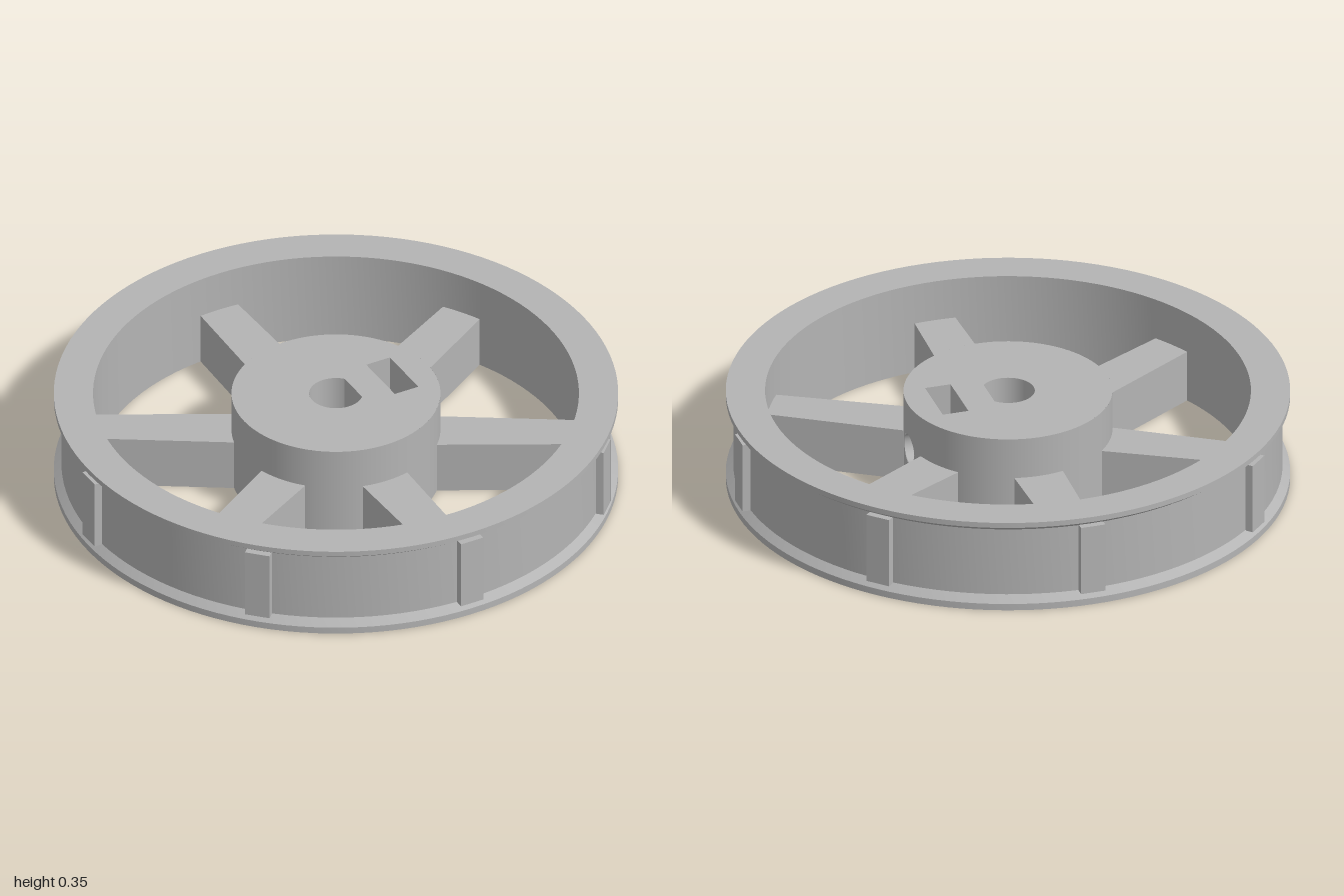
import * as THREE from 'three';
import { toCreasedNormals } from 'three/addons/utils/BufferGeometryUtils.js';

const H = 0.35;                       // overall height
const HUB_R = 0.37, BORE_R = 0.095, FLAT_X = 0.07;
const SLOT = { x0: 0.18, x1: 0.275, z: 0.105, floor: 0.07 };
const HOLE_R = 0.056, HOLE_Y = 0.175; // radial screw hole along +x

export function createModel() {
  const grey = new THREE.MeshStandardMaterial({ color: 0xb4b4b4, side: THREE.DoubleSide });
  grey.name = 'grey plastic';
  const wheel = new THREE.Group();
  wheel.name = 'wheel';
  const add = (parent, name, geometry) => {
    const mesh = new THREE.Mesh(geometry, grey);
    mesh.name = name;
    parent.add(mesh);
    return mesh;
  };

  // Rim with a shallow groove between two bevelled flanges
  const profile = [
    [0.86, 0], [0.999, 0], [0.999, 0.025], [0.972, 0.05], [0.972, 0.31],
    [0.999, 0.33], [0.999, H], [0.86, H], [0.86, 0],
  ].map(([r, y]) => new THREE.Vector2(r, y));
  add(wheel, 'rim', toCreasedNormals(new THREE.LatheGeometry(profile, 120), 0.4));

  // Eight ribs across the groove
  for (let i = 0; i < 8; i++) {
    const rib = new THREE.BoxGeometry(0.09, 0.265, 0.06);
    rib.translate(0, 0.18, 0.9695).rotateY(i * Math.PI / 4);
    add(wheel, 'grooveRib', rib);
  }

  // Six tapered spokes, flush with the bottom
  const spokeShape = new THREE.Shape([
    [-0.09, 0.36], [0.09, 0.36], [0.075, 0.875], [-0.075, 0.875],
  ].map(([x, y]) => new THREE.Vector2(x, y)));
  for (let i = 0; i < 6; i++) {
    const spoke = new THREE.ExtrudeGeometry(spokeShape, { depth: 0.195, bevelEnabled: false });
    spoke.rotateX(-Math.PI / 2).rotateY(i * Math.PI / 3);
    add(wheel, 'spoke', spoke);
  }

  const hub = new THREE.Group();
  hub.name = 'hub';
  wheel.add(hub);

  // Hub end faces with a D-shaped bore, and the slot in the top
  const flatAngle = Math.acos(FLAT_X / BORE_R);
  const flatHalf = BORE_R * Math.sin(flatAngle);
  const endFace = (withSlot) => {
    const face = new THREE.Shape().absarc(0, 0, HUB_R, 0, Math.PI * 2);
    const bore = new THREE.Path().absarc(0, 0, BORE_R, flatAngle, 2 * Math.PI - flatAngle);
    bore.closePath();
    face.holes.push(bore);
    if (withSlot) {
      const { x0, x1, z } = SLOT;
      face.holes.push(new THREE.Path([[x0, -z], [x1, -z], [x1, z], [x0, z]]
        .map(([x, y]) => new THREE.Vector2(x, y))));
    }
    return new THREE.ShapeGeometry(face, 40);
  };
  add(hub, 'hubTop', endFace(true).rotateX(-Math.PI / 2).translate(0, H, 0));
  add(hub, 'hubBottom', endFace(false).rotateX(Math.PI / 2));

  // Outer wall: a plain arc, plus a curved panel pierced by the screw hole
  const half = H / 2, panelAngle = half / HUB_R;
  add(hub, 'hubWall', new THREE.CylinderGeometry(HUB_R, HUB_R, H, 72, 1, true,
    Math.PI / 2 + panelAngle, 2 * (Math.PI - panelAngle)).translate(0, half, 0));
  const panel = new THREE.PlaneGeometry(1, 1, 64, 8);
  const pos = panel.attributes.position, normal = panel.attributes.normal;
  for (let i = 0; i < pos.count; i++) {
    const a = (pos.getX(i) + 0.5) * 2 * Math.PI, t = pos.getY(i) + 0.5;
    const c = Math.cos(a), s = Math.sin(a);
    const edge = half / Math.max(Math.abs(c), Math.abs(s));
    const r = HOLE_R + (edge - HOLE_R) * (1 - t);
    const th = r * c / HUB_R;
    pos.setXYZ(i, HUB_R * Math.cos(th), HOLE_Y + r * s, -HUB_R * Math.sin(th));
    normal.setXYZ(i, Math.cos(th), 0, -Math.sin(th));
  }
  add(hub, 'piercedHubWall', panel);

  // Bore: round wall, and a flat pierced by the screw hole
  const boreWall = new THREE.CylinderGeometry(BORE_R, BORE_R, H, 40, 1, true,
    Math.PI / 2 + flatAngle, 2 * (Math.PI - flatAngle));
  const inward = (g) => {
    const ix = g.index.array;
    for (let i = 0; i < ix.length; i += 3) [ix[i], ix[i + 1]] = [ix[i + 1], ix[i]];
    const n = g.attributes.normal;
    for (let i = 0; i < n.count; i++) n.setXYZ(i, -n.getX(i), -n.getY(i), -n.getZ(i));
    return g;
  };
  add(hub, 'boreWall', inward(boreWall).translate(0, half, 0));
  const piercedWall = (x, z, y0, turn) => {
    const shape = new THREE.Shape([[-z, y0], [z, y0], [z, H], [-z, H]]
      .map(([u, v]) => new THREE.Vector2(u, v)));
    shape.holes.push(new THREE.Path().absarc(0, HOLE_Y, HOLE_R, 0, Math.PI * 2));
    return new THREE.ShapeGeometry(shape, 24).rotateY(turn * Math.PI / 2).translate(x, 0, 0);
  };
  add(hub, 'boreFlat', piercedWall(FLAT_X, flatHalf, 0, -1));

  // Slot: two pierced side walls, two end walls and a floor
  const { x0, x1, z, floor } = SLOT, w = x1 - x0, mid = (x0 + x1) / 2;
  add(hub, 'slotInnerWall', piercedWall(x0, z, floor, 1));
  add(hub, 'slotOuterWall', piercedWall(x1, z, floor, -1));
  for (const side of [-1, 1]) {
    const end = new THREE.PlaneGeometry(w, H - floor);
    if (side > 0) end.rotateY(Math.PI);
    add(hub, 'slotEnd', end.translate(mid, (H + floor) / 2, side * z));
  }
  add(hub, 'slotFloor', new THREE.PlaneGeometry(w, 2 * z).rotateX(-Math.PI / 2).translate(mid, floor, 0));

  // Screw hole lining on both sides of the slot
  for (const [a, b] of [[FLAT_X, x0], [x1, 0.367]]) {
    const lining = inward(new THREE.CylinderGeometry(HOLE_R, HOLE_R, b - a, 32, 1, true));
    add(hub, 'screwHole', lining.rotateZ(Math.PI / 2).translate((a + b) / 2, HOLE_Y, 0));
  }
  return wheel;
}
